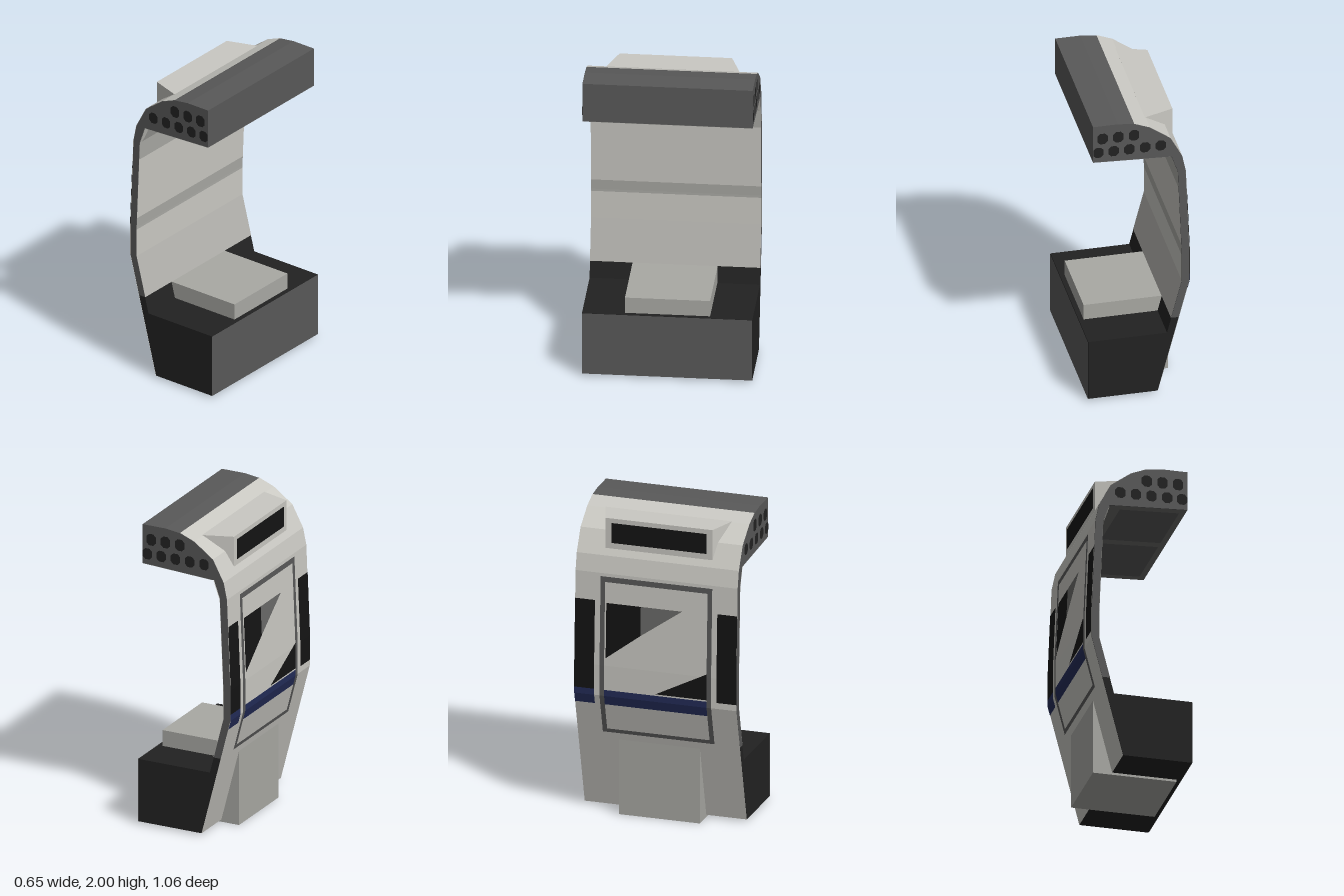
import * as THREE from 'three';
import { ConvexGeometry } from 'three/addons/geometries/ConvexGeometry.js';

const DEPTH = 0.53;

export function createModel() {
  const root = new THREE.Group();
  const paint = (name, color, side = THREE.DoubleSide) => {
    const m = new THREE.MeshStandardMaterial({ color, side });
    m.name = name;
    return m;
  };
  const light = paint('light shell', 0xcac9c3);
  const lining = paint('lower lining', 0xb5b4af);
  const pale = paint('equipment grey', 0xa9a9a4);
  const mid = paint('ceiling grey', 0x6a6a68);
  const dark = paint('dark grey', 0x595959);
  const black = paint('black', 0x222222);
  const glass = paint('window black', 0x141414);
  const blue = paint('blue', 0x232c58);

  const add = (name, geometry, material) => {
    const mesh = new THREE.Mesh(geometry, material);
    mesh.name = name;
    root.add(mesh);
    return mesh;
  };
  const box = (name, [x0, x1], [y0, y1], [z0, z1], material) => {
    const g = new THREE.BoxGeometry(x1 - x0, y1 - y0, z1 - z0);
    g.translate((x0 + x1) / 2, (y0 + y1) / 2, (z0 + z1) / 2);
    return add(name, g, material);
  };
  const prism = (name, pts, material) => {
    const shape = new THREE.Shape(pts.map(p => new THREE.Vector2(...p)));
    const g = new THREE.ExtrudeGeometry(shape, { depth: 2 * DEPTH, bevelEnabled: false });
    g.translate(0, 0, -DEPTH);
    return add(name, g, material);
  };
  // Flat-faced skin swept along z from a profile of [x, y] points
  const strip = (name, pts, z0, z1, material) => {
    const v = [];
    for (let i = 0; i < pts.length - 1; i++) {
      const [a, b] = [pts[i], pts[i + 1]];
      v.push(...a, z0, ...a, z1, ...b, z1, ...a, z0, ...b, z1, ...b, z0);
    }
    const g = new THREE.BufferGeometry();
    g.setAttribute('position', new THREE.Float32BufferAttribute(v, 3));
    g.computeVertexNormals();
    return add(name, g, material);
  };

  // Cross-section of the shell
  const outer = [[-0.12, 0.015], [-0.322, 0.8], [-0.322, 1.0], [-0.298, 1.6], [-0.275, 1.71],
    [-0.2, 1.85], [-0.07, 1.945], [0.03, 1.985], [0.13, 1.998], [0.29, 1.998]];
  const inner = [[-0.18, 0.43], [-0.275, 0.8], [-0.275, 1.0], [-0.25, 1.6], [-0.21, 1.715]];
  const xAt = (line, y) => {
    const i = Math.max(1, line.findIndex(p => p[1] >= y));
    const [a, b] = [line[i - 1], line[i]];
    return a[0] + (b[0] - a[0]) * (y - a[1]) / (b[1] - a[1]);
  };
  // Section of a wall line between two heights, shifted in x
  const span = (line, y0, y1, dx) => [y0, ...line.map(p => p[1]).filter(y => y > y0 && y < y1), y1]
    .map(y => [xAt(line, y) + dx, y]);
  const onOuter = (name, y0, y1, z0, z1, material, lift = 0.004) =>
    strip(name, span(outer, y0, y1, -lift), z0, z1, material);
  const onInner = (name, y0, y1, material) =>
    strip(name, span(inner, y0, y1, 0.002), -DEPTH, DEPTH, material);

  // Solid body: base, wall and roof
  const split = 0.535;
  prism('floorBase', [outer[0], [0.32, 0.015], [0.32, 0.43], inner[0],
    [xAt(inner, split), split], [xAt(outer, split), split]], black);
  prism('wallAndRoof', [[xAt(outer, split), split], [xAt(inner, split), split],
    ...inner.slice(1), [0.29, 1.74], ...outer.slice(1).reverse()], dark);
  strip('floorCutFace', [[0.323, 0.015], [0.323, 0.43]], -DEPTH, DEPTH, dark);

  // Outer skin up to the dark roof
  strip('outerSkin', outer.slice(0, 8).map(([x, y]) => [x - 0.002, y + (y > 1.8 ? 0.002 : 0)]),
    -DEPTH, DEPTH, light);

  // Inner lining bands
  onInner('lowerLining', split, 0.8, lining);
  onInner('sideLining', 0.8, 0.985, light);
  onInner('railBand', 0.985, 1.065, pale);
  onInner('windowLining', 1.065, 1.48, light);
  onInner('upperBand', 1.48, 1.6, pale);
  onInner('coveLining', 1.6, 1.714, pale);

  // Half-oval brackets on the cove
  for (const [z, from, to] of [[0, -1, 1], [-DEPTH, 0, 1], [DEPTH, -1, 0]]) {
    const shape = new THREE.Shape();
    for (let i = 0; i <= 12; i++) {
      const t = from + (to - from) * i / 12;
      const p = [t * 0.042, -0.11 * Math.sqrt(1 - t * t)];
      if (i) shape.lineTo(...p); else shape.moveTo(...p);
    }
    if (from * to === 0) shape.lineTo(0, 0);
    const g = new THREE.ShapeGeometry(shape);
    const p = g.attributes.position;
    for (let i = 0; i < p.count; i++) {
      const y = 1.712 + p.getY(i);
      p.setXYZ(i, xAt(inner, y) + 0.006, y, z + p.getX(i));
    }
    g.computeVertexNormals();
    add('coveBracket', g, light);
  }

  // Ceiling lining with two panels
  const ceilY = x => 1.715 + (x + 0.21) * 0.05;
  const ceiling = (name, x0, x1, z0, z1, drop, material) =>
    strip(name, [[x0, ceilY(x0) - drop], [x1, ceilY(x1) - drop]], z0, z1, material);
  ceiling('ceilingLining', -0.2, 0.29, -DEPTH, DEPTH, 0.002, mid);
  for (const s of [-1, 1]) ceiling('ceilingPanel', -0.13, 0.25, s * 0.03, s * 0.48, 0.004, dark);

  // Duct openings on both roof ends
  const duct = (x, y, w, h) => {
    const c = 0.018;
    const s = new THREE.Shape([[-w + c, -h], [w - c, -h], [w, -h + c], [w, h - c],
      [w - c, h], [-w + c, h], [-w, h - c], [-w, -h + c]].map(p => new THREE.Vector2(...p)));
    for (const side of [-1, 1]) {
      const m = add('ductOpening', new THREE.ShapeGeometry(s), black);
      m.position.set(x, y, side * (DEPTH + 0.002));
    }
  };
  for (const x of [-0.14, -0.04, 0.06, 0.16, 0.256]) duct(x, 1.807, 0.033, 0.036);
  for (const x of [0.03, 0.13, 0.23]) duct(x, 1.905, 0.033, 0.038);

  // Equipment box running through the base
  box('equipmentBox', [-0.245, 0.29], [0, 0.535], [-0.265, 0.265], pale);

  // Sign housing above the door
  const housing = [];
  for (const s of [-1, 1]) {
    for (const y of [1.745, 1.95]) housing.push(new THREE.Vector3(-0.255, y, s * 0.35));
    for (const y of [1.77, 1.95]) housing.push(new THREE.Vector3(-0.065, y, s * 0.415));
  }
  add('signHousing', new ConvexGeometry(housing), light);
  box('signWindow', [-0.259, -0.254], [1.79, 1.92], [-0.31, 0.31], glass);

  // Side windows beside the door
  for (const s of [-1, 1]) onOuter('sideWindow', 0.84, 1.42, s * 0.4, s * DEPTH, glass);
  onOuter('sideStripe', 0.74, 0.84, -DEPTH, -0.4, blue);

  // Door frame, stripe and glazing
  for (const s of [-1, 1]) onOuter('doorPost', 0.54, 1.58, s * 0.335, s * 0.365, dark);
  onOuter('doorHeader', 1.545, 1.58, -0.335, 0.335, dark);
  onOuter('doorSill', 0.54, 0.565, -0.335, 0.335, dark);
  onOuter('doorStripe', 0.74, 0.84, -0.335, 0.335, blue);
  const pane = (name, pts, material) => {
    const g = new THREE.ShapeGeometry(new THREE.Shape(pts.map(p => new THREE.Vector2(...p))));
    const p = g.attributes.position;
    for (let i = 0; i < p.count; i++) {
      const [z, y] = [p.getX(i), p.getY(i)];
      p.setXYZ(i, xAt(outer, y) - 0.005, y, z);
    }
    g.computeVertexNormals();
    add(name, g, material);
  };
  pane('doorGlassRear', [[-0.325, 1.41], [-0.1, 1.41], [-0.1, 1.22], [-0.325, 1.05]], glass);
  pane('doorGlassCentre', [[-0.1, 1.41], [0.17, 1.41], [-0.1, 1.22]], mid);
  pane('doorGlassFront', [[0, 0.85], [0.335, 0.85], [0.335, 1.02]], glass);

  return root;
}
